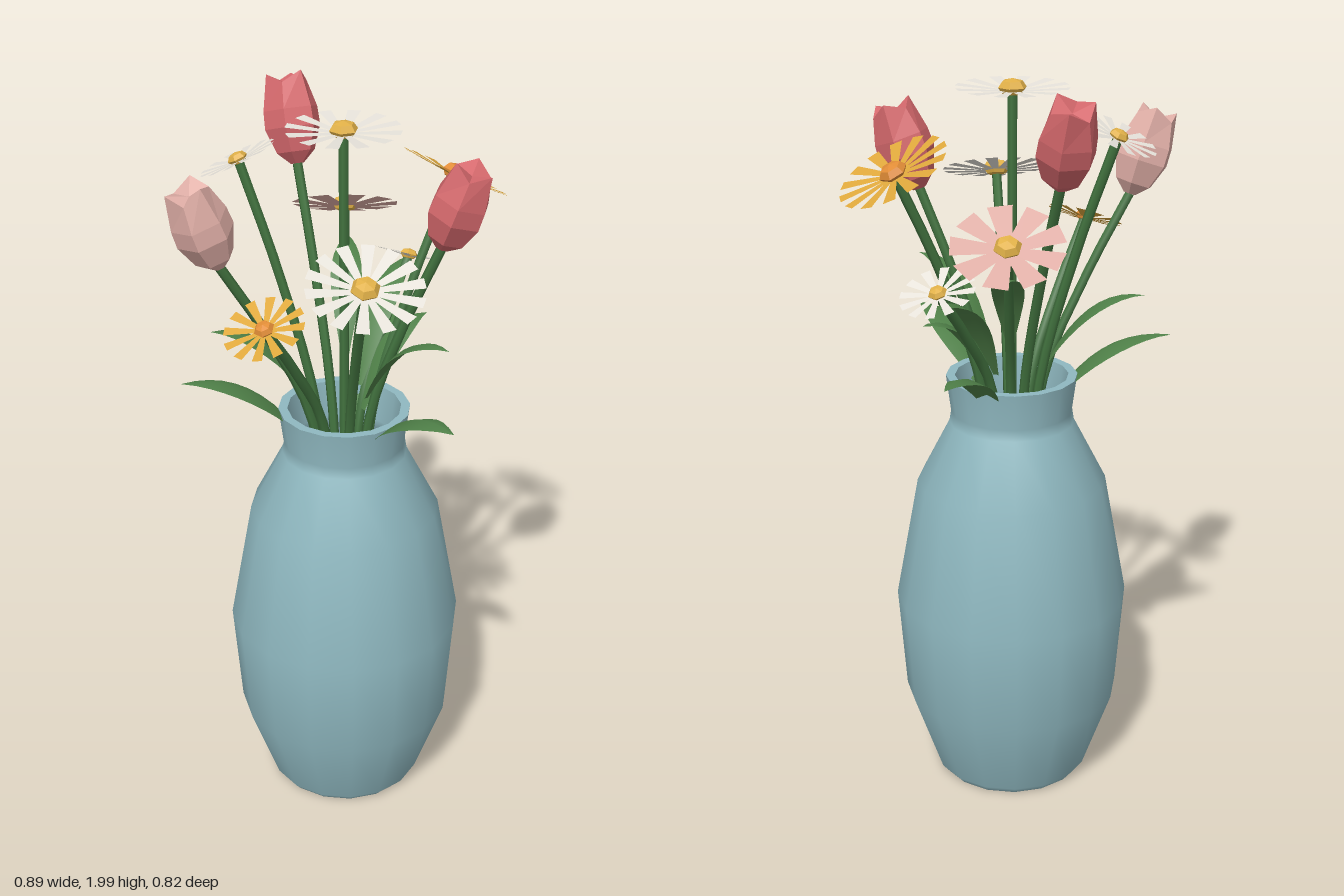
import * as THREE from 'three';
import { mergeGeometries } from 'three/addons/utils/BufferGeometryUtils.js';

const mat = (name, color, side = THREE.FrontSide) => {
  const m = new THREE.MeshStandardMaterial({ color, side });
  m.name = name;
  return m;
};
const V = (x, y, z) => new THREE.Vector3(x, y, z);
const UP = V(0, 1, 0);
const CX = -0.013, CZ = -0.02; // vase axis

// Indexed or loose triangles turned into crisp facets
function faceted(geo) {
  const g = geo.index ? geo.toNonIndexed() : geo;
  g.computeVertexNormals();
  return g;
}

function fromPoints(points, index) {
  const g = new THREE.BufferGeometry().setFromPoints(points);
  g.setIndex(index);
  return g;
}

// Point at a fraction of the way out from the vase axis to a tip
const outward = (tip, f, y) => V(CX + (tip.x - CX) * f, y, CZ + (tip.z - CZ) * f);

function stemGeometry(end) {
  const rim = 1.15;
  const path = new THREE.CatmullRomCurve3([
    outward(end, 0.06, 0.3), outward(end, 0.27, rim),
    outward(end, 0.62, rim + (end.y - rim) * 0.55), end.clone(),
  ]);
  return new THREE.TubeGeometry(path, 18, 0.013, 6);
}

// Ring of thin, flat-ended petals, slightly cupped
function petalRing(count, radius, tipWidth) {
  const inner = radius * 0.15, h = radius * 0.07, a = tipWidth * 0.22, b = tipWidth / 2;
  const petals = [];
  for (let i = 0; i < count; i++) {
    const p = fromPoints([V(-a, 0, inner), V(a, 0, inner), V(b, h, radius), V(-b, h, radius)],
      [0, 2, 1, 0, 3, 2]);
    petals.push(p.rotateY((i / count) * Math.PI * 2));
  }
  return faceted(mergeGeometries(petals));
}

// Six-sided tulip cup with alternating high and low tips
function tulipGeometry(height) {
  const rings = [[0.018, 0], [0.052, 0.13], [0.076, 0.4], [0.074, 0.6], [0.054, 0.95]];
  const pts = [], idx = [], n = 6, last = rings.length - 1;
  rings.forEach(([r, t], k) => {
    for (let i = 0; i < n; i++) {
      const a = (i / n) * Math.PI * 2;
      const y = t + (k === last ? (i % 2 ? -0.06 : 0.05) : 0);
      pts.push(V(Math.sin(a) * r, y * height, Math.cos(a) * r));
    }
  });
  pts.push(V(0, 0, 0), V(0, height * 0.88, 0));
  const bottom = pts.length - 2, top = pts.length - 1;
  for (let i = 0; i < n; i++) {
    const j = (i + 1) % n;
    for (let k = 0; k < last; k++) {
      const p = k * n;
      idx.push(p + i, p + j, p + n + j, p + i, p + n + j, p + n + i);
    }
    idx.push(bottom, j, i, top, last * n + i, last * n + j);
  }
  return faceted(fromPoints(pts, idx));
}

// Arching leaf, folded along its midrib
function leafGeometry(tip, halfWidth, rise) {
  const curve = new THREE.QuadraticBezierCurve3(
    outward(tip, 0.22, tip.y - rise), outward(tip, 0.55, tip.y + 0.03), tip);
  const side = V(tip.z - CZ, 0, CX - tip.x).normalize();
  const pts = [], idx = [], steps = 10;
  for (let i = 0; i <= steps; i++) {
    const t = i / steps, c = curve.getPoint(t);
    const w = halfWidth * Math.sin(Math.PI * (0.06 + 0.94 * Math.pow(t, 1.1)));
    for (const s of [-1, 0, 1]) {
      pts.push(c.clone().addScaledVector(side, s * w).addScaledVector(UP, -Math.abs(s) * w * 0.3));
    }
    if (i < steps) {
      for (const k of [0, 1]) {
        const p = i * 3 + k;
        idx.push(p, p + 1, p + 4, p, p + 4, p + 3);
      }
    }
  }
  const g = fromPoints(pts, idx);
  g.computeVertexNormals();
  return g;
}

export function createModel() {
  const root = new THREE.Group();
  root.name = 'flowerVase';
  const D = THREE.DoubleSide;
  const M = {
    vase: mat('vase blue', 0x8fb8c0),
    stem: mat('stem green', 0x42733f),
    leaf: mat('leaf green', 0x4f8048, D),
    white: mat('petal white', 0xe8e4dc, D),
    yellow: mat('petal yellow', 0xdfa83c, D),
    pink: mat('petal pink', 0xdfaea6, D),
    red: mat('tulip red', 0xd4686c),
    gold: mat('centre gold', 0xe0b048),
    orange: mat('centre orange', 0xe08c36),
  };
  const add = (parent, name, geo, material) => {
    const m = new THREE.Mesh(geo, material);
    m.name = name;
    parent.add(m);
    return m;
  };

  // Vase: base, outer wall, rim and hollow inside
  const vase = new THREE.Group();
  vase.name = 'vase';
  vase.position.set(CX, 0, CZ);
  root.add(vase);
  const sections = {
    vaseBase: [[0, 0], [0.198, 0]],
    vaseWall: [[0.198, 0], [0.215, 0.02], [0.296, 0.25], [0.318, 0.54], [0.256, 0.88],
      [0.168, 1.05], [0.163, 1.08], [0.176, 1.18]],
    vaseRim: [[0.176, 1.18], [0.152, 1.18]],
    vaseInside: [[0.152, 1.18], [0.14, 1.08], [0.146, 1.05], [0.234, 0.87], [0.296, 0.54],
      [0.274, 0.26], [0.19, 0.04]],
    vaseFloor: [[0.19, 0.04], [0, 0.04]],
  };
  for (const [name, pts] of Object.entries(sections)) {
    add(vase, name, new THREE.LatheGeometry(pts.map(([x, y]) => new THREE.Vector2(x, y)), 16), M.vase);
  }

  // Daisies: x, y, z, radius, petal count, tip width, tilt in degrees, colours
  const daisies = [
    [-0.014, 1.935, -0.02, 0.145, 12, 0.034, 0, M.white, M.gold],
    [-0.124, 1.835, -0.275, 0.103, 12, 0.026, 26, M.white, M.gold],
    [-0.223, 1.655, 0.228, 0.145, 14, 0.034, 23, M.white, M.gold],
    [-0.353, 1.535, 0.02, 0.103, 12, 0.026, 26, M.yellow, M.orange],
    [0.307, 1.76, 0.08, 0.147, 14, 0.034, 29, M.yellow, M.orange],
    [0.237, 1.615, -0.233, 0.14, 9, 0.064, 30, M.pink, M.gold],
    [0.32, 1.488, -0.077, 0.097, 12, 0.025, 25, M.white, M.gold],
  ];
  for (const [x, y, z, r, n, w, tilt, petalMat, centreMat] of daisies) {
    const end = V(x, y, z);
    add(root, 'daisyStem', stemGeometry(end), M.stem);
    const head = new THREE.Group();
    head.name = 'daisy';
    head.position.copy(end);
    const t = THREE.MathUtils.degToRad(tilt);
    const out = V(x - CX, 0, z - CZ).normalize();
    if (tilt) head.quaternion.setFromUnitVectors(UP, out.multiplyScalar(Math.sin(t)).setY(Math.cos(t)));
    root.add(head);
    add(head, 'daisyPetals', petalRing(n, r, w), petalMat);
    const centre = faceted(new THREE.SphereGeometry(r * 0.26, 6, 4).rotateY(Math.PI / 6));
    add(head, 'daisyCentre', faceted(centre.scale(1, 0.6, 1)), centreMat).position.y = r * 0.06;
  }

  // Tulips: base of the cup, middle of its opening, colour
  const tulips = [
    [V(0.12, 1.755, -0.297), V(0.162, 1.975, -0.372), M.red],
    [V(0.087, 1.665, 0.215), V(0.121, 1.885, 0.287), M.red],
    [V(-0.318, 1.64, -0.163), V(-0.39, 1.86, -0.196), M.pink],
  ];
  for (const [base, tip, material] of tulips) {
    add(root, 'tulipStem', stemGeometry(base), M.stem);
    const dir = tip.clone().sub(base);
    const cup = add(root, 'tulipCup', tulipGeometry(dir.length()), material);
    cup.position.copy(base);
    cup.quaternion.setFromUnitVectors(UP, dir.normalize());
  }

  // Leaves: tip position, half width, rise from the base
  const leaves = [
    [V(-0.335, 1.275, -0.305), 0.045, 0.2],
    [V(-0.245, 1.4, -0.28), 0.042, 0.22],
    [V(-0.09, 1.275, 0.405), 0.055, 0.2],
    [V(-0.015, 1.45, 0.325), 0.036, 0.22],
    [V(0.4, 1.28, -0.172), 0.045, 0.2],
    [V(0.365, 1.465, -0.11), 0.042, 0.26],
    [V(0.27, 1.37, 0.03), 0.04, 0.22],
    [V(0.25, 1.53, -0.235), 0.042, 0.25],
  ];
  for (const [tip, w, rise] of leaves) add(root, 'leaf', leafGeometry(tip, w, rise), M.leaf);

  return root;
}
